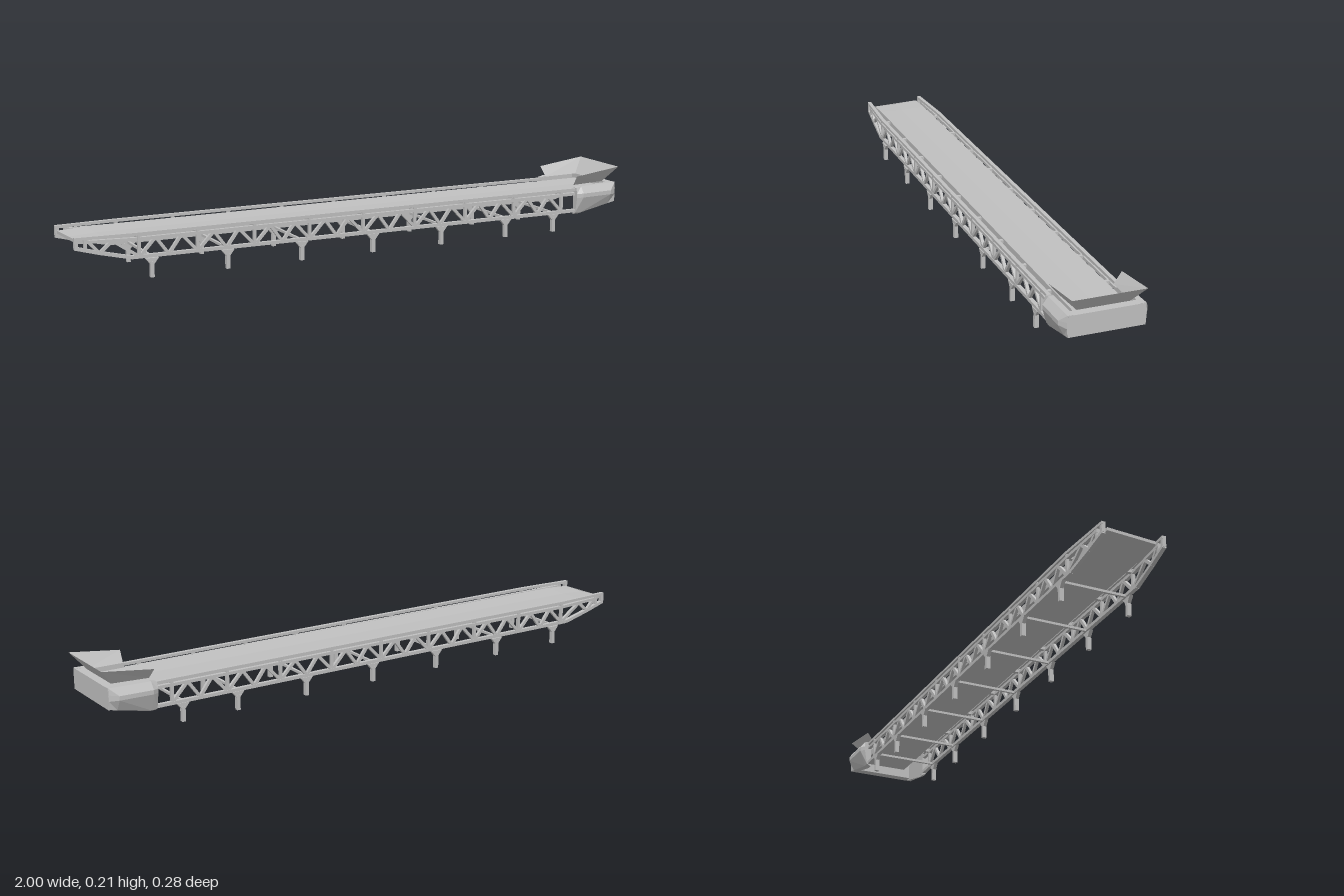
import * as THREE from 'three';

const steel = new THREE.MeshStandardMaterial({ color: 0xc0c0c0, flatShading: true });
steel.name = 'steel grey';
const sheet = steel.clone();
sheet.name = 'sheet grey';
sheet.side = THREE.DoubleSide;

function add(parent, name, geometry, material = steel) {
  const mesh = new THREE.Mesh(geometry, material);
  mesh.name = name;
  parent.add(mesh);
  return mesh;
}

function box(parent, name, x0, x1, y0, y1, z0, z1) {
  const mesh = add(parent, name, new THREE.BoxGeometry(x1 - x0, y1 - y0, z1 - z0));
  mesh.position.set((x0 + x1) / 2, (y0 + y1) / 2, (z0 + z1) / 2);
  return mesh;
}

// The frames lean in toward the tail end
const frameZ = x => 0.111 - 0.011 * THREE.MathUtils.clamp((-0.8 - x) / 0.2, 0, 1);

// Straight member between two points in the plane of one side frame
function bar(parent, name, side, a, b, thick = 0.01, depth = 0.01) {
  const p = new THREE.Vector3(a[0], a[1], side * frameZ(a[0]));
  const q = new THREE.Vector3(b[0], b[1], side * frameZ(b[0]));
  const mesh = add(parent, name, new THREE.BoxGeometry(depth, thick, p.distanceTo(q)));
  mesh.position.copy(p).add(q).multiplyScalar(0.5);
  mesh.lookAt(q);
}

// Surface joining cross-sections of equal length, with optional closed loop and caps
function loft(sections, closed) {
  const n = sections[0].length, index = [];
  for (let s = 0; s < sections.length - 1; s++) {
    for (let i = 0; i < (closed ? n : n - 1); i++) {
      const j = (i + 1) % n, a = s * n + i, b = s * n + j;
      index.push(a, b, a + n, b, b + n, a + n);
    }
  }
  if (closed) {
    const last = (sections.length - 1) * n;
    for (let i = 1; i < n - 1; i++) index.push(0, i + 1, i, last, last + i, last + i + 1);
  }
  const g = new THREE.BufferGeometry();
  g.setAttribute('position', new THREE.Float32BufferAttribute(sections.flat(2), 3));
  g.setIndex(index);
  g.computeVertexNormals();
  return g;
}

const legXs = [-0.755, -0.5, -0.24, 0.02, 0.28, 0.535, 0.73];

function sideFrame(side) {
  const g = new THREE.Group();
  g.name = side > 0 ? 'frontFrame' : 'backFrame';

  // Rail, top chord and bottom chord rising to the tail
  bar(g, 'guardRail', side, [-0.8, 0.142], [0.84, 0.142], 0.009, 0.013);
  bar(g, 'guardRailTail', side, [-1, 0.142], [-0.8, 0.142], 0.009, 0.013);
  bar(g, 'topChord', side, [-0.8, 0.126], [0.84, 0.126], 0.01, 0.012);
  bar(g, 'topChordTail', side, [-0.97, 0.13], [-0.8, 0.126], 0.01, 0.012);
  const low = [[-0.998, 0.113], [-0.92, 0.092], [-0.82, 0.069], [0.84, 0.066]];
  for (let i = 0; i < 3; i++) bar(g, 'bottomChord', side, low[i], low[i + 1], 0.011, 0.013);

  // Tail bracing
  bar(g, 'tailPost', side, [-0.994, 0.112], [-0.994, 0.144], 0.012, 0.012);
  bar(g, 'tailPost', side, [-0.965, 0.105], [-0.965, 0.142]);
  bar(g, 'tailBrace', side, [-0.96, 0.135], [-0.92, 0.092]);
  bar(g, 'tailBrace', side, [-0.92, 0.092], [-0.88, 0.127]);
  bar(g, 'tailBrace', side, [-0.88, 0.127], [-0.795, 0.07]);

  // Posts, belt brackets and zigzag diagonals
  const pitch = 0.195;
  for (let k = 0; k < 9; k++) {
    const x = -0.795 + k * pitch, mid = x + pitch / 2;
    bar(g, 'post', side, [x, 0.066], [x, 0.142], 0.01);
    const z0 = side * 0.08, z1 = side * 0.112;
    box(g, 'beltBracket', x - 0.006, x + 0.006, 0.124, 0.134, Math.min(z0, z1), Math.max(z0, z1));
    if (k === 8) continue;
    bar(g, 'diagonal', side, [x, 0.068], [x + pitch * 0.28, 0.126]);
    bar(g, 'diagonal', side, [x + pitch * 0.28, 0.126], [mid, 0.068]);
    bar(g, 'diagonal', side, [mid, 0.068], [x + pitch * 0.72, 0.126]);
    bar(g, 'diagonal', side, [x + pitch * 0.72, 0.126], [x + pitch, 0.068]);
  }

  // Legs with flared heads
  for (const x of legXs) {
    const leg = box(g, 'leg', x - 0.006, x + 0.006, 0, 0.05, -0.007, 0.007);
    leg.position.z = side * 0.114;
    const flare = new THREE.Shape([[-0.006, 0.042], [0.006, 0.042], [0.022, 0.062], [-0.022, 0.062]]
      .map(p => new THREE.Vector2(...p)));
    const head = add(g, 'legHead', new THREE.ExtrudeGeometry(flare, { depth: 0.012, bevelEnabled: false }));
    head.position.set(x, 0, side * 0.114 - 0.006);
  }
  return g;
}

// Faceted cover over the side of the head end
function headCover(side) {
  const section = (x, pts) => pts.map(([z, y]) => [x, y, z]);
  const geo = loft([
    section(0.82, [[0.105, 0.148], [0.123, 0.148], [0.13, 0.128], [0.13, 0.114], [0.12, 0.06], [0.105, 0.052]]),
    section(0.84, [[0.105, 0.153], [0.123, 0.153], [0.141, 0.13], [0.141, 0.116], [0.12, 0.058], [0.105, 0.052]]),
    section(0.955, [[0.105, 0.156], [0.123, 0.156], [0.141, 0.132], [0.141, 0.118], [0.122, 0.082], [0.105, 0.08]]),
    section(0.983, [[0.105, 0.157], [0.123, 0.157], [0.125, 0.135], [0.125, 0.115], [0.123, 0.088], [0.105, 0.088]]),
  ], true);
  const mesh = add(new THREE.Group(), side > 0 ? 'frontHeadCover' : 'backHeadCover', geo, sheet);
  mesh.scale.z = side;
  return mesh;
}

export function createModel() {
  const model = new THREE.Group();
  model.name = 'conveyor';

  for (const side of [1, -1]) model.add(sideFrame(side), headCover(side));

  // Belt slab with slightly skewed tail edge
  const beltSection = (skew, x, top, bottom) => [
    [x + skew, top, 0.083], [x, top - 0.003, 0], [x - skew, top, -0.087],
    [x - skew, bottom, -0.087], [x + skew, bottom, 0.083],
  ];
  add(model, 'belt', loft([
    beltSection(0.007, -0.99, 0.132, 0.122),
    beltSection(0, -0.9, 0.137, 0.118),
    beltSection(0, 0.96, 0.14, 0.118),
  ], true), sheet);

  // Cross ties under the belt
  for (const x of legXs) box(model, 'crossTie', x - 0.004, x + 0.004, 0.062, 0.07, -0.106, 0.106);

  // Closed head end
  box(model, 'headPlate', 0.955, 0.984, 0.087, 0.156, -0.122, 0.122);

  // Flared three-sided chute on top of the head
  add(model, 'chute', loft([
    [[0.83, 0.153, 0.09], [0.955, 0.156, 0.084], [0.955, 0.156, -0.084], [0.83, 0.153, -0.09]],
    [[0.825, 0.188, 0.118], [1, 0.21, 0.118], [1, 0.21, -0.118], [0.825, 0.188, -0.118]],
  ], false), sheet);

  return model;
}
